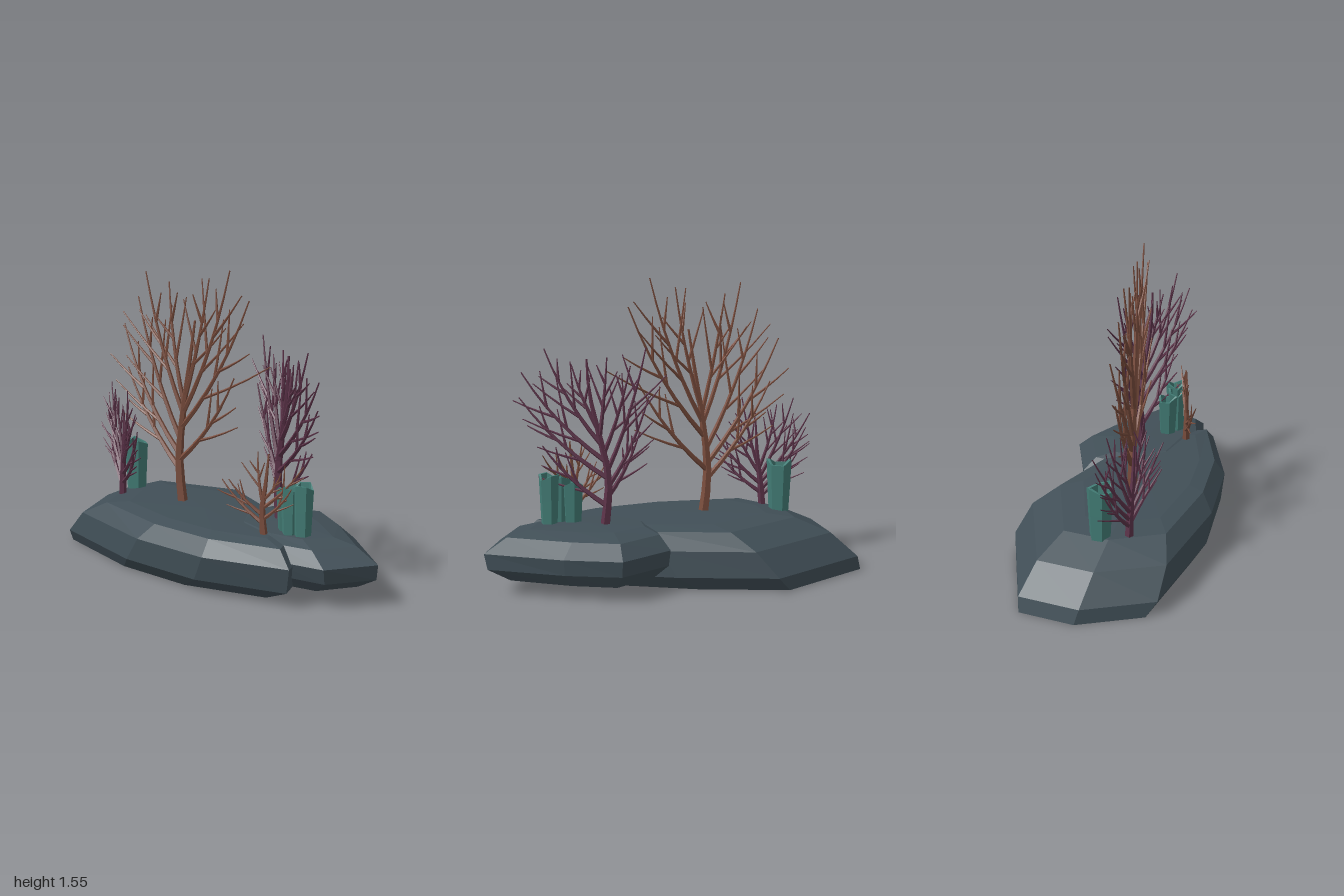
import * as THREE from 'three';
import { mergeGeometries } from 'three/addons/utils/BufferGeometryUtils.js';

let seed = 7;
const rand = () => ((seed = (seed * 16807) % 2147483647) / 2147483647);
const jitter = (a) => (rand() * 2 - 1) * a;

function material(name, color) {
  const m = new THREE.MeshStandardMaterial({ color, flatShading: true });
  m.name = name;
  return m;
}

// Faceted rock: one normalised outline fitted into a stack of boxes [y, x0, x1, z0, z1].
function rock(name, mat, outline, rings) {
  const n = outline.length;
  const loops = rings.map(([y, x0, x1, z0, z1]) => outline.map(([u, w]) =>
    [(x0 + x1) / 2 + u * (x1 - x0) / 2, y, (z0 + z1) / 2 + w * (z1 - z0) / 2]));
  const centre = (loop, dy) => [0, 1, 2].map((k) =>
    loop.reduce((s, p) => s + p[k], 0) / n + (k === 1 ? dy : 0));
  const first = loops[0], last = loops[loops.length - 1];
  const low = centre(first, 0), high = centre(last, 0.008);
  const pos = [];
  for (let i = 0; i < n; i++) {
    const j = (i + 1) % n;
    for (let r = 0; r < loops.length - 1; r++) {
      const a = loops[r], b = loops[r + 1];
      pos.push(...a[i], ...b[i], ...b[j], ...a[i], ...b[j], ...a[j]);
    }
    pos.push(...low, ...first[i], ...first[j], ...high, ...last[j], ...last[i]);
  }
  const geo = new THREE.BufferGeometry();
  geo.setAttribute('position', new THREE.Float32BufferAttribute(pos, 3));
  geo.computeVertexNormals();
  const mesh = new THREE.Mesh(geo, mat);
  mesh.name = name;
  return mesh;
}

// Tube that narrows from r0 to r1 along its curve.
function taperedTube(curve, r0, r1, steps) {
  const sides = 5;
  const geo = new THREE.TubeGeometry(curve, steps, 1, sides, false);
  const p = geo.attributes.position, v = new THREE.Vector3();
  for (let i = 0; i < p.count; i++) {
    const t = Math.floor(i / (sides + 1)) / steps;
    const c = curve.getPointAt(t);
    v.fromBufferAttribute(p, i).sub(c).multiplyScalar(r0 + (r1 - r0) * t).add(c);
    p.setXYZ(i, v.x, v.y, v.z);
  }
  return geo;
}

// Fan coral in an upright plane z = z0 + slope * (x - x0).
// trunk: points [x, y]; branches: [start along trunk, tip x, tip y].
function fanCoral(name, mat, { trunk, z0, slope, radius, branches, twigs }) {
  const x0 = trunk[0][0];
  const at = (x, y, j = 0) => new THREE.Vector3(x, y, z0 + slope * (x - x0) + jitter(j));
  const stem = new THREE.CatmullRomCurve3(trunk.map(([x, y]) => at(x, y)));
  const parts = [taperedTube(stem, radius, radius * 0.2, 8)];
  branches.forEach(([t, x, y]) => {
    const s = stem.getPointAt(t);
    const dx = x - s.x, dy = y - s.y;
    const curve = new THREE.QuadraticBezierCurve3(s,
      at(s.x + dx * 0.62, s.y + dy * 0.42, 0.015), at(x, y, 0.03));
    parts.push(taperedTube(curve, radius * (0.58 - 0.2 * t), radius * 0.12, 6));
    // Side twigs, alternating left and right
    const len = curve.getLength();
    for (let k = 0; k < twigs; k++) {
      const u = 0.28 + 0.5 * k / twigs + jitter(0.04);
      const p = curve.getPointAt(u), d = curve.getTangentAt(u);
      const side = (k % 2 ? 1 : -1) * Math.sign(dx || 1);
      const angle = Math.atan2(d.y, d.x) + side * (0.5 + jitter(0.12));
      const l = len * (1 - u) * (0.62 + jitter(0.15));
      const end = at(p.x + Math.cos(angle) * l, p.y + Math.sin(angle) * l + l * 0.12, 0.025);
      const mid = p.clone().lerp(end, 0.5);
      mid.y -= l * 0.05;
      parts.push(taperedTube(new THREE.QuadraticBezierCurve3(p, mid, end),
        radius * 0.3, radius * 0.1, 3));
    }
  });
  const mesh = new THREE.Mesh(mergeGeometries(parts), mat);
  mesh.name = name;
  return mesh;
}

// Hollow six-sided sponge with an uneven rim.
function tubeSponge(name, mat, x, z, r, base, top) {
  const h = top - base;
  const profile = [[0.78, 0], [0.9, h * 0.5], [1, h], [0.76, h], [0.6, h * 0.35], [0, h * 0.3]]
    .map(([a, y]) => new THREE.Vector2(a * r, y));
  const geo = new THREE.LatheGeometry(profile, 6);
  const p = geo.attributes.position;
  for (let i = 0; i < p.count; i++) {
    const a = Math.atan2(p.getZ(i), p.getX(i));
    if (p.getY(i) > h * 0.9) p.setY(i, p.getY(i) + 0.018 * Math.sin(a * 2 + x * 9) - 0.014);
    const k = 1 + 0.1 * Math.cos(a * 3 + x * 5);
    p.setX(i, p.getX(i) * k);
    p.setZ(i, p.getZ(i) * k);
  }
  const mesh = new THREE.Mesh(geo, mat);
  mesh.position.set(x, base, z);
  mesh.name = name;
  return mesh;
}

export function createModel() {
  const group = new THREE.Group();
  group.name = 'coralReef';
  const stone = material('slateStone', 0x414f57);
  const rust = material('rustCoral', 0x7a4d3d);
  const plum = material('plumCoral', 0x5c3349);
  const teal = material('tealSponge', 0x437d76);
  teal.side = THREE.DoubleSide;

  // Rocks
  group.add(rock('mainRock', stone,
    [[-1, 0.16], [-0.98, -0.49], [-0.33, -1], [0.24, -0.65], [0.8, -0.15],
      [1, 0.51], [0.47, 0.9], [-0.08, 1], [-0.78, 0.84]],
    [[0, -1, 0.54, -0.46, 0.43], [0.075, -0.98, 0.71, -0.49, 0.485],
      [0.205, -0.84, 0.74, -0.43, 0.485], [0.285, -0.66, 0.66, -0.31, 0.42],
      [0.303, -0.52, 0.54, -0.2, 0.34]]));
  group.add(rock('sideRock', stone,
    [[1, 0.04], [0.73, 0.76], [0.16, 1], [-0.58, 0.8], [-0.94, 0],
      [-0.9, -0.61], [-0.3, -1], [0.26, -0.64]],
    [[0.07, 0.14, 0.87, -0.37, 0.17], [0.135, 0.06, 0.985, -0.42, 0.22],
      [0.215, 0.05, 1, -0.43, 0.245], [0.285, 0.1, 0.88, -0.35, 0.21],
      [0.309, 0.16, 0.76, -0.22, 0.15]]));

  // Fan corals
  group.add(fanCoral('tallFanCoral', rust, {
    trunk: [[-0.21, 0.28], [-0.235, 0.52], [-0.2, 0.82], [-0.16, 1.05], [-0.12, 1.28]],
    z0: 0.09, slope: -0.13, radius: 0.029, twigs: 4,
    branches: [[0.2, -0.6, 0.98], [0.24, 0.16, 1.02], [0.28, -0.64, 1.21], [0.36, -0.52, 1.37],
      [0.42, 0.22, 1.41], [0.5, -0.43, 1.51], [0.5, 0.1, 1.55], [0.55, -0.32, 1.46],
      [0.58, -0.04, 1.5]],
  }));
  group.add(fanCoral('rightFanCoral', plum, {
    trunk: [[0.37, 0.28], [0.35, 0.55], [0.4, 0.8], [0.44, 1], [0.45, 1.16]],
    z0: -0.05, slope: 0.36, radius: 0.027, twigs: 4,
    branches: [[0.14, 0.67, 0.72], [0.2, 0.2, 0.79], [0.26, 0.15, 0.97], [0.3, 0.77, 0.96],
      [0.35, 0.17, 1.22], [0.4, 0.76, 1.09], [0.45, 0.25, 1.13], [0.5, 0.65, 1.21],
      [0.55, 0.36, 1.17], [0.6, 0.52, 1.13]],
  }));
  group.add(fanCoral('leftFanCoral', plum, {
    trunk: [[-0.59, 0.26], [-0.58, 0.4], [-0.56, 0.58], [-0.55, 0.76]],
    z0: 0.195, slope: 0.32, radius: 0.023, twigs: 4,
    branches: [[0.15, -0.77, 0.58], [0.18, -0.37, 0.56], [0.22, -0.8, 0.72], [0.28, -0.34, 0.69],
      [0.3, -0.82, 0.8], [0.36, -0.74, 0.88], [0.4, -0.43, 0.76], [0.45, -0.66, 0.84],
      [0.45, -0.48, 0.88]],
  }));
  group.add(fanCoral('smallFanCoral', rust, {
    trunk: [[0.48, 0.28], [0.47, 0.42], [0.485, 0.55], [0.5, 0.71]],
    z0: 0.17, slope: -0.48, radius: 0.021, twigs: 3,
    branches: [[0.18, 0.28, 0.56], [0.22, 0.62, 0.55], [0.28, 0.33, 0.57], [0.35, 0.66, 0.66],
      [0.42, 0.43, 0.71], [0.45, 0.56, 0.62]],
  }));

  // Tube sponges
  [['leftTubeSponge', -0.63, 0.06, 0.068, 0.27, 0.56],
    ['innerTubeSponge', 0.515, 0.05, 0.054, 0.29, 0.53],
    ['middleTubeSponge', 0.575, 0.085, 0.05, 0.29, 0.55],
    ['outerTubeSponge', 0.635, 0.06, 0.054, 0.29, 0.57],
  ].forEach(([name, ...size]) => group.add(tubeSponge(name, teal, ...size)));

  return group;
}
